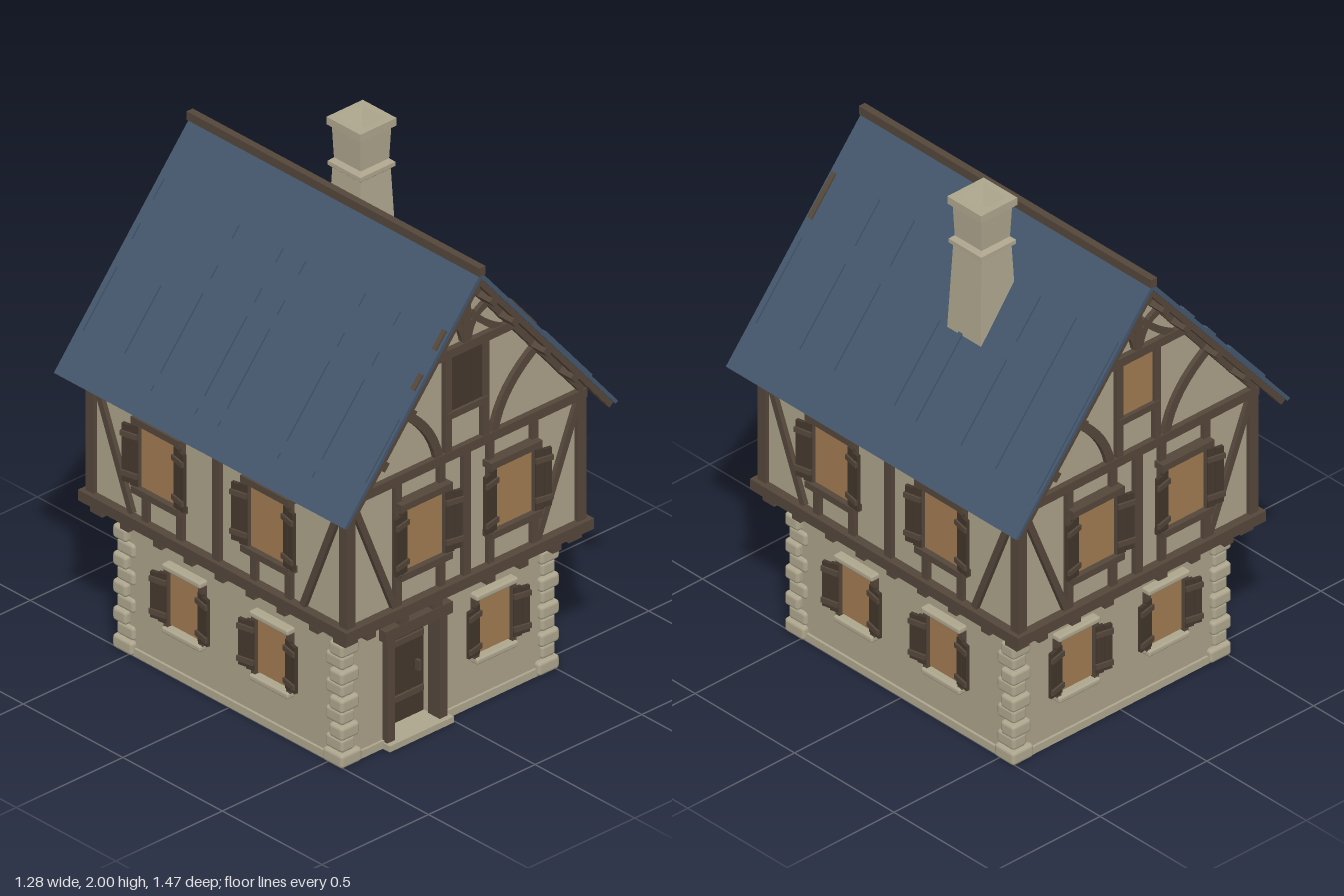
import * as THREE from 'three';
import { RoundedBoxGeometry } from 'three/addons/geometries/RoundedBoxGeometry.js';

const mat = (name, color) => {
  const m = new THREE.MeshStandardMaterial({ color });
  m.name = name;
  return m;
};

export function createModel() {
  const plaster = mat('plaster', 0xaaa189);
  const stone = mat('stone', 0xada58d);
  const wood = mat('timber', 0x54463a);
  const darkWood = mat('dark wood', 0x43372d);
  const glass = mat('amber glass', 0xa07a52);
  const slate = mat('blue slate', 0x43566c);
  const house = new THREE.Group();
  house.name = 'house';

  const add = (parent, name, geo, material) => {
    const m = new THREE.Mesh(geo, material);
    m.name = name;
    parent.add(m);
    return m;
  };
  const box = (p, name, m, w, h, d, x, y, z) => {
    const b = add(p, name, new THREE.BoxGeometry(w, h, d), m);
    b.position.set(x, y, z);
    return b;
  };
  // Straight timber between two points of a wall plane
  const beam = (p, name, x0, y0, x1, y1, w, d, z, m = wood) => {
    const b = box(p, name, m, w, Math.hypot(x1 - x0, y1 - y0), d, (x0 + x1) / 2, (y0 + y1) / 2, z);
    b.rotation.z = -Math.atan2(x1 - x0, y1 - y0);
    return b;
  };
  // Bent timber following a quadratic curve
  const bentBeam = (p, name, a, b, c, w, d, z) => {
    const curve = new THREE.QuadraticBezierCurve(...[a, b, c].map(q => new THREE.Vector2(...q)));
    const left = [], right = [];
    for (let i = 0; i <= 8; i++) {
      const q = curve.getPoint(i / 8), t = curve.getTangent(i / 8);
      left.push(new THREE.Vector2(q.x - t.y * w / 2, q.y + t.x * w / 2));
      right.unshift(new THREE.Vector2(q.x + t.y * w / 2, q.y - t.x * w / 2));
    }
    const geo = new THREE.ExtrudeGeometry(new THREE.Shape([...left, ...right]), { depth: d, bevelEnabled: false });
    add(p, name, geo, wood).position.z = z - d / 2;
  };
  const outline = pts => new THREE.Shape(pts.map(q => new THREE.Vector2(...q)));
  const roofY = x => 1.835 - 1.1875 * Math.abs(x);

  // Ground floor, with a doorway recess in the front
  const W = 0.49, D = 0.555;
  const lower = new THREE.ExtrudeGeometry(outline([[-W, -D], [-0.265, -D], [-0.265, -D + 0.09],
    [-0.05, -D + 0.09], [-0.05, -D], [W, -D], [W, D], [-W, D]]), { depth: 0.44, bevelEnabled: false });
  add(house, 'groundFloorWalls', lower.rotateX(-Math.PI / 2), plaster);
  box(house, 'groundFloorTop', plaster, 2 * W, 0.14, 2 * D, 0, 0.51, 0);
  for (const s of [-1, 1]) {
    box(house, 'sidePlinth', stone, 0.02, 0.03, 2 * D + 0.02, s * W, 0.015, 0);
  }
  box(house, 'backPlinth', stone, 2 * W, 0.03, 0.02, 0, 0.015, -D);
  box(house, 'frontPlinth', stone, 0.54, 0.03, 0.02, 0.22, 0.015, D);
  box(house, 'frontPlinth', stone, 0.22, 0.03, 0.02, -0.38, 0.015, D);

  // Corner quoins, alternating long and short, with a corbel on top
  for (const sx of [-1, 1]) for (const sz of [-1, 1]) {
    for (let i = 0; i < 10; i++) {
      const w = i === 0 ? 0.1 : i % 2 ? 0.066 : 0.088;
      const d = i === 0 ? 0.1 : i % 2 ? 0.088 : 0.07;
      const q = add(house, 'cornerStone', new RoundedBoxGeometry(w, 0.055, d, 2, 0.014), stone);
      const out = i % 2 ? 0.013 : 0.023;
      q.position.set(sx * (W + out - w / 2), 0.0275 + i * 0.0545, sz * (D + out - d / 2));
    }
    box(house, 'cornerCorbel', wood, 0.06, 0.045, 0.06, sx * 0.525, 0.55, sz * 0.61);
  }

  // Upper floor and gables in one prism
  const upper = new THREE.ExtrudeGeometry(outline([[-0.545, 0.575], [0.545, 0.575], [0.545, 1.15], [0, 1.8],
    [-0.545, 1.15]]), { depth: 1.28, bevelEnabled: false });
  add(house, 'upperWalls', upper.translate(0, 0, -0.64), plaster);

  // Window with frame, muntin and slightly opened shutters
  const windowUnit = (p, x, y, w, h, z, stoneTrim) => {
    const g = new THREE.Group();
    g.name = 'window';
    g.position.set(x, y, z);
    p.add(g);
    box(g, 'pane', glass, w, h, 0.008, 0, 0, 0.005);
    for (const s of [-1, 1]) {
      box(g, 'frameSide', wood, 0.02, h + 0.02, 0.03, s * (w / 2 + 0.005), 0, 0.008);
      if (stoneTrim) {
        const t = add(g, s > 0 ? 'lintel' : 'sill', new RoundedBoxGeometry(w + 0.03, 0.024, 0.05, 2, 0.008), stone);
        t.position.set(0, s * (h / 2 + 0.018), 0.01);
      } else {
        box(g, s > 0 ? 'lintel' : 'sill', wood, w + 0.05, 0.026, 0.045, 0, s * (h / 2 + 0.008), 0.01);
      }
      const hinge = new THREE.Group();
      hinge.name = 'shutter';
      hinge.position.set(s * (w / 2 - 0.004), 0, 0.022);
      hinge.rotation.y = -s * 0.22;
      g.add(hinge);
      for (let i = 0; i < 2; i++) {
        box(hinge, 'shutterBoard', darkWood, 0.031, h - 0.02 - i * 0.012, 0.014, s * (0.018 + i * 0.033), 0, 0);
      }
      for (const k of [-1, 1]) box(hinge, 'shutterBatten', wood, 0.07, 0.02, 0.01, s * 0.034, k * h * 0.3, 0.01);
    }
  };

  // Four walls; each group faces outward along its own z
  const walls = [
    { name: 'frontWall', turn: 0, half: 0.545, up: 0.64, low: D, upWin: [-0.21, 0.21], lowWin: [0.21] },
    { name: 'rightWall', turn: 1, half: 0.64, up: 0.545, low: W, upWin: [-0.27, 0.28], lowWin: [-0.22, 0.22] },
    { name: 'backWall', turn: 2, half: 0.545, up: 0.64, low: D, upWin: [-0.21, 0.21], lowWin: [-0.21, 0.21] },
    { name: 'leftWall', turn: 3, half: 0.64, up: 0.545, low: W, upWin: [-0.28, 0.27], lowWin: [-0.22, 0.22] },
  ];
  for (const f of walls) {
    const g = new THREE.Group();
    g.name = f.name;
    g.rotation.y = f.turn * Math.PI / 2;
    house.add(g);
    const gable = f.turn % 2 === 0, z = f.up + 0.005;
    box(g, 'sillBeam', wood, 2 * f.half + 0.07, 0.042, 0.06, 0, 0.588, f.up + 0.005);
    box(g, 'topPlate', wood, 2 * f.half + 0.03, 0.036, 0.035, 0, 1.11, z);
    box(g, 'middlePost', wood, 0.034, 0.5, 0.03, 0, 0.85, z);
    for (const s of [-1, 1]) {
      box(g, 'cornerPost', wood, 0.04, 0.5, 0.04, s * (f.half - 0.003), 0.85, f.up - 0.003);
      beam(g, 'diagonalBrace', s * (f.half - 0.02), 1.08, s * (f.half - 0.21), 0.61, 0.026, 0.026, z);
      const posts = gable ? [0.32, 0.115] : [0.36, 0.185];
      for (const p of posts) box(g, 'windowPost', wood, 0.03, 0.5, 0.026, s * p, 0.85, z);
    }
    for (const x of f.upWin) windowUnit(g, x, 0.87, 0.19, 0.26, f.up + 0.012, false);
    for (const x of f.lowWin) windowUnit(g, x, 0.31, 0.165, 0.215, f.low, true);
    // Joist ends below the overhang
    const joists = gable ? [0.125, 0.28, 0.435] : [0, 0.155, 0.31, 0.475];
    for (const j of joists) for (const s of j ? [-1, 1] : [1]) {
      box(g, 'joistEnd', wood, 0.042, 0.05, 0.1, s * j, 0.545, f.up - 0.045);
    }
    if (!gable) continue;

    // Gable framing
    box(g, 'collarBeam', wood, 0.46, 0.034, 0.035, 0, 1.515, z);
    box(g, 'kingPost', wood, 0.032, 0.25, 0.03, 0, 1.65, z);
    for (const s of [-1, 1]) {
      beam(g, 'gableRafter', s * 0.55, roofY(0.55) - 0.045, 0, roofY(0) - 0.045, 0.05, 0.035, z);
      beam(g, 'bargeRafter', s * 0.6, roofY(0.6) - 0.034, 0, roofY(0) - 0.034, 0.028, 0.03, 0.71);
      box(g, 'hatchPost', wood, 0.03, 0.38, 0.03, s * 0.088, 1.315, z);
      bentBeam(g, 'bentBrace', [s * 0.13, 1.12], [s * 0.16, 1.28], [s * 0.34, 1.39], 0.034, 0.028, z);
      bentBeam(g, 'upperBentBrace', [s * 0.01, 1.54], [s * 0.025, 1.64], [s * 0.125, 1.65], 0.026, 0.026, z);
      bentBeam(g, 'lowerBentBrace', [s * 0.17, 1.52], [s * 0.09, 1.56], [s * 0.02, 1.64], 0.024, 0.024, z);
    }
    box(g, 'hatchSill', wood, 0.19, 0.026, 0.04, 0, 1.27, z);
    if (f.turn === 0) {
      for (let i = -1; i < 2; i++) box(g, 'hatchBoard', darkWood, 0.05, 0.22, 0.018, i * 0.051, 1.39, z);
    } else {
      box(g, 'gablePane', glass, 0.15, 0.22, 0.008, 0, 1.39, z);
    }
  }

  // Door, frame and step
  const door = new THREE.Group();
  door.name = 'door';
  house.add(door);
  for (let i = 0; i < 4; i++) {
    box(door, 'doorBoard', darkWood, 0.052, 0.42, 0.016, -0.238 + i * 0.0535, 0.225, 0.487);
  }
  for (const y of [0.12, 0.34]) box(door, 'doorBatten', wood, 0.2, 0.022, 0.012, -0.158, y, 0.499);
  for (const x of [-0.283, -0.037]) box(door, 'doorPost', wood, 0.036, 0.43, 0.06, x, 0.225, 0.55);
  box(door, 'doorLintel', wood, 0.315, 0.045, 0.07, -0.16, 0.452, 0.555);
  box(door, 'handle', wood, 0.012, 0.04, 0.02, -0.085, 0.22, 0.505);
  box(door, 'step', stone, 0.3, 0.024, 0.14, -0.158, 0.012, 0.53);

  // Roof shell, ridge, purlins and eave rafter ends
  const shell = new THREE.ExtrudeGeometry(outline([[-0.642, 1.073], [-0.63, 1.066], [0, 1.812], [0.63, 1.066],
    [0.642, 1.073], [0, 1.837]]), { depth: 1.46, bevelEnabled: false });
  add(house, 'roof', shell.translate(0, 0, -0.73), slate);
  box(house, 'ridgeBeam', wood, 0.028, 0.034, 1.47, 0, 1.842, 0);
  const rafterZ = [-0.71, -0.5, -0.32, -0.1, 0.015, 0.315, 0.49, 0.71];
  for (const s of [-1, 1]) {
    for (const x of [0.07, 0.17, 0.32, 0.45]) {
      const p = box(house, 'purlin', wood, 0.036, 0.036, 1.45, s * x, roofY(x) - 0.058, 0);
      p.rotation.z = -s * 0.87;
    }
    for (const z of rafterZ) {
      beam(house, 'eaveRafter', s * 0.5, roofY(0.5) - 0.038, s * 0.618, roofY(0.618) - 0.038, 0.024, 0.024, z);
      // Raised strips where the rafters lift the slates
      const spans = s > 0 ? (z === -0.1 ? [[0.31, 0.53]] : z < -0.4 ? [[0.15, 0.53]] : [[0.15, 0.265], [0.31, 0.525]])
        : z === -0.5 ? [[0.36, 0.53]] : Math.abs(z) > 0.7 ? [[0.37, 0.53], [0.26, 0.3], [0.15, 0.2]]
          : [[0.56, 0.575], [0.33, 0.53], [0.26, 0.295], [0.16, 0.195]];
      for (const [a, b] of spans) {
        const m = z === 0.71 && a < 0.3 ? wood : slate;
        beam(house, 'roofStrip', s * a, roofY(a), s * b, roofY(b), 0.016, 0.02, z, m);
      }
    }
  }

  // Square chimney with collar, cap and hollow top
  const profile = [[0.088, 1.4], [0.071, 1.8], [0.082, 1.81], [0.082, 1.826], [0.067, 1.84], [0.072, 1.96],
    [0.085, 1.97], [0.085, 2.0], [0.06, 2.0], [0.02, 1.95], [0, 1.95]];
  const stack = new THREE.LatheGeometry(profile.map(([r, y]) => new THREE.Vector2(r * Math.SQRT2, y)), 4, Math.PI / 4)
    .toNonIndexed();
  stack.computeVertexNormals();
  add(house, 'chimney', stack, stone).position.set(0.23, 0, -0.118);

  return house;
}
